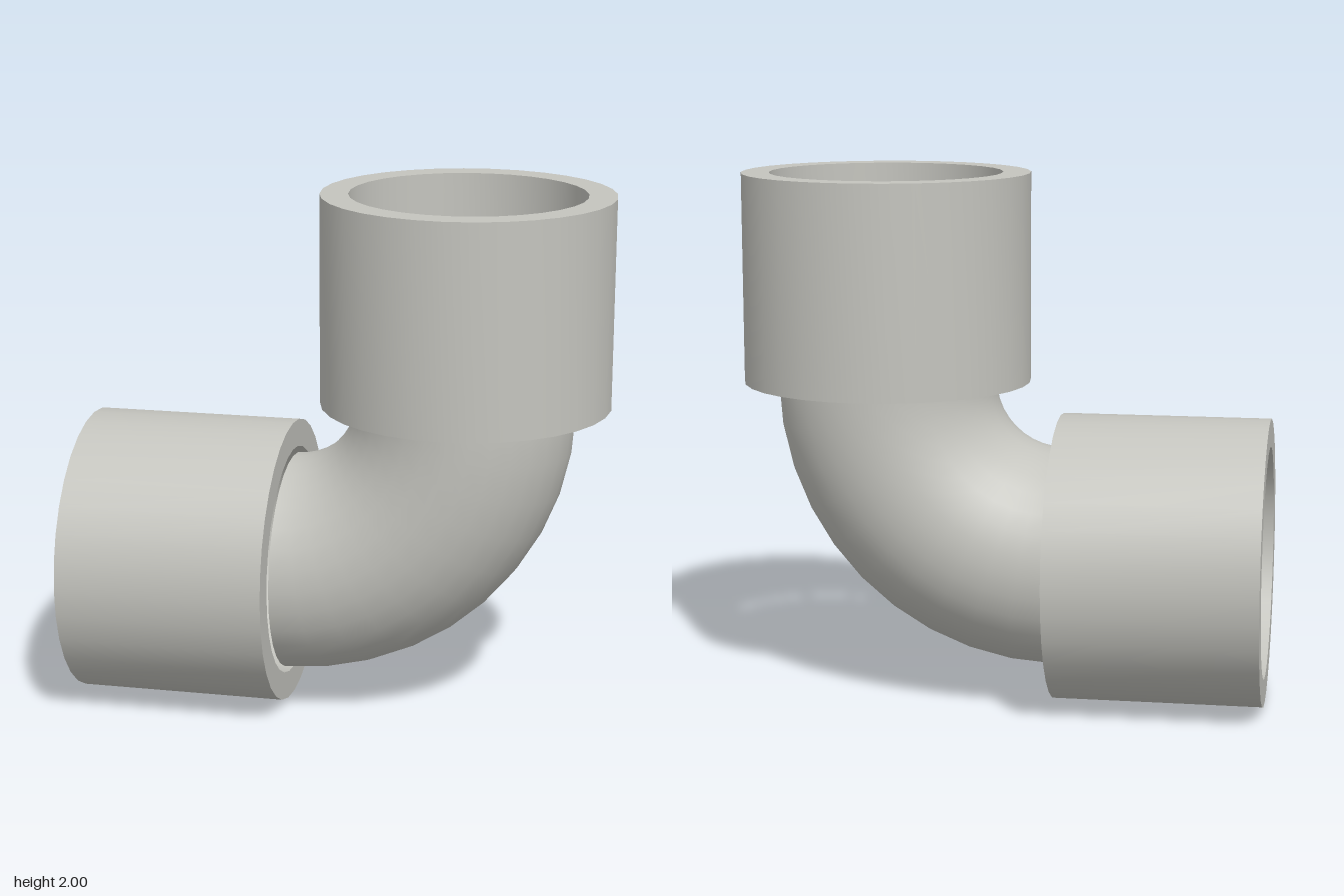
import * as THREE from 'three';
import { mergeGeometries, toCreasedNormals } from 'three/addons/utils/BufferGeometryUtils.js';

const SIDES = 32;
const AXIS_X = 0.455, AXIS_Y = 0.545;      // centre lines of the two sockets
const LENGTH = 0.79, OUTER = 0.545, INNER = 0.44;
const BEND_R = 0.665, PIPE_OUT = 0.415, PIPE_IN = 0.315;

// Hollow socket standing along +y from its base
function socketGeometry() {
  const profile = [[INNER, 0], [OUTER, 0], [OUTER, LENGTH], [INNER, LENGTH], [INNER, 0]]
    .map(([r, y]) => new THREE.Vector2(r, y));
  return toCreasedNormals(new THREE.LatheGeometry(profile, SIDES), 0.6);
}

// Turns a surface inside out, for the bore of the pipe
function flip(geometry) {
  const index = geometry.index.array, normal = geometry.attributes.normal.array;
  for (let i = 0; i < index.length; i += 3) {
    [index[i], index[i + 1]] = [index[i + 1], index[i]];
  }
  for (let i = 0; i < normal.length; i++) normal[i] = -normal[i];
  return geometry;
}

// Quarter-turn hollow pipe around the origin, with ring-shaped ends
function bendGeometry() {
  const wall = (r) => new THREE.TorusGeometry(BEND_R, r, SIDES, 10, Math.PI / 2).rotateZ(-Math.PI / 2);
  const end = () => new THREE.RingGeometry(PIPE_IN, PIPE_OUT, SIDES);
  return mergeGeometries([
    wall(PIPE_OUT),
    flip(wall(PIPE_IN)),
    end().rotateX(-Math.PI / 2).translate(BEND_R, 0, 0),
    end().rotateY(-Math.PI / 2).translate(0, -BEND_R, 0),
  ]);
}

export function createModel() {
  const model = new THREE.Group();
  model.name = 'pipeElbow';
  const plastic = new THREE.MeshStandardMaterial({ color: 0xc4c4be });
  plastic.name = 'greyPlastic';

  const add = (name, geometry, x, y) => {
    const mesh = new THREE.Mesh(geometry, plastic);
    mesh.name = name;
    mesh.position.set(x, y, 0);
    model.add(mesh);
    return mesh;
  };

  add('upperSocket', socketGeometry(), AXIS_X, 2 - LENGTH);
  add('sideSocket', socketGeometry(), LENGTH - 1, AXIS_Y).rotation.z = Math.PI / 2;
  add('bend', bendGeometry(), LENGTH - 1, 2 - LENGTH);
  return model;
}
